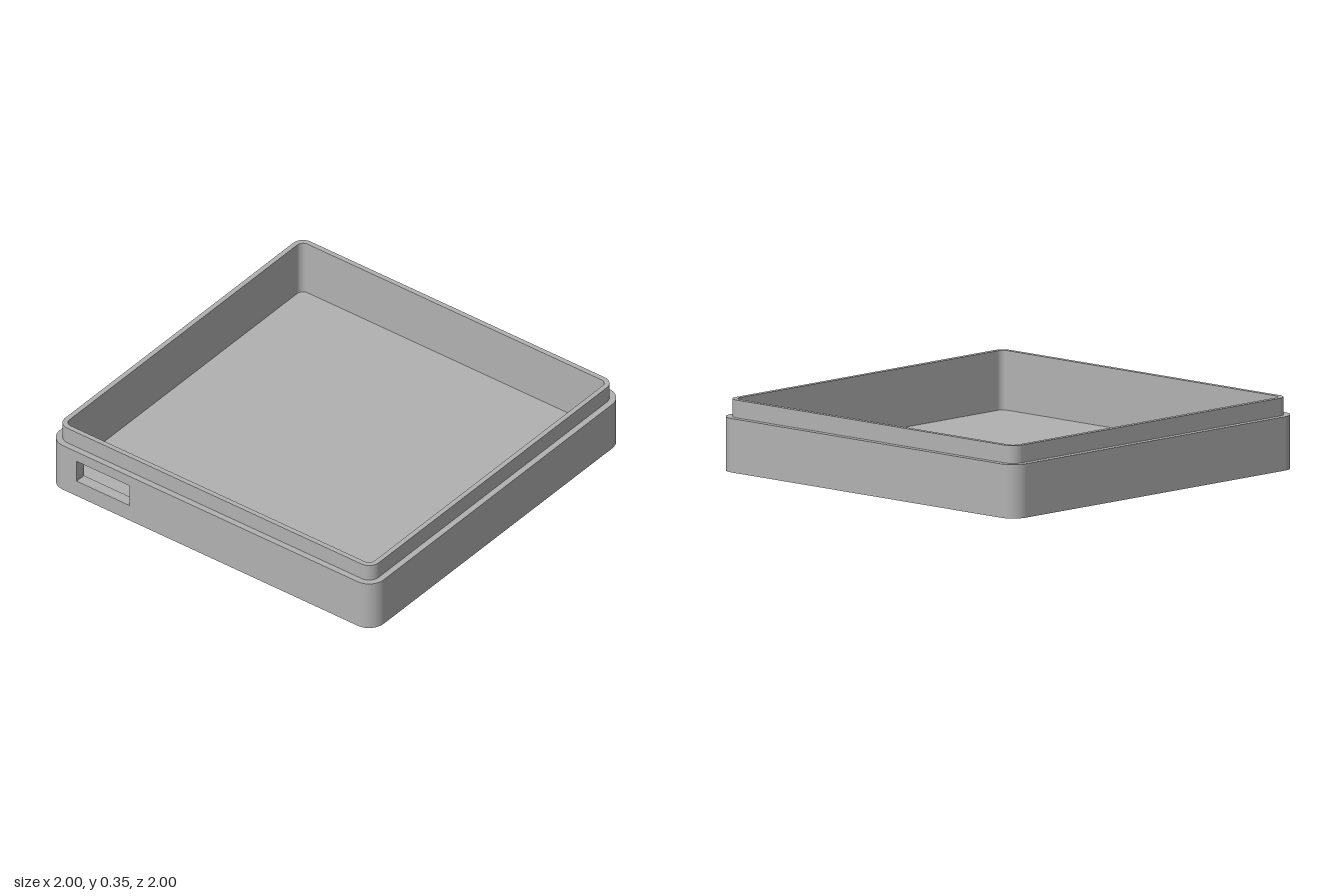
import * as THREE from 'three';

// Main dimensions
const OUTER = { half: 1, r: 0.09 }, LIP = { half: 0.968, r: 0.06 }, INNER = { half: 0.942, r: 0.035 };
const FLOOR = 0.06, LEDGE = 0.267, TOP = 0.355;
const SLOT = { x: -0.6625, y: 0.15, hw: 0.1625, hh: 0.06 };

// Rounded rectangle in x/z with normals; starts and ends at the front (+z) edge
function outline(hx, hz, r, steps = 10) {
  const pts = [];
  [[-1, 1], [-1, -1], [1, -1], [1, 1]].forEach(([sx, sz], k) => {
    for (let i = 0; i <= steps; i++) {
      const a = (k + 1 + i / steps) * Math.PI / 2, nx = Math.cos(a), nz = Math.sin(a);
      pts.push({ x: sx * (hx - r) + r * nx, z: sz * (hz - r) + r * nz, nx, nz });
    }
  });
  return pts;
}
const ring = s => outline(s.half, s.half, s.r);

// Upright skin along an outline; an open one leaves out the front edge
function skin(pts, y0, y1, { closed = true, inward = false } = {}) {
  const pos = [], nor = [], idx = [], n = pts.length, s = inward ? -1 : 1;
  for (const p of pts) {
    pos.push(p.x, y0, p.z, p.x, y1, p.z);
    nor.push(s * p.nx, 0, s * p.nz, s * p.nx, 0, s * p.nz);
  }
  for (let i = 0; i < (closed ? n : n - 1); i++) {
    const a = 2 * i, b = 2 * ((i + 1) % n);
    if (inward) idx.push(b, a + 1, a, b, b + 1, a + 1);
    else idx.push(b, a, a + 1, b, a + 1, b + 1);
  }
  const g = new THREE.BufferGeometry();
  g.setAttribute('position', new THREE.Float32BufferAttribute(pos, 3));
  g.setAttribute('normal', new THREE.Float32BufferAttribute(nor, 3));
  g.setIndex(idx);
  return g;
}

// Level face, optionally with a hole
function level(outer, hole, y, down = false) {
  const v = pts => pts.map(p => new THREE.Vector2(p.x, p.z));
  const shape = new THREE.Shape(v(outer));
  if (hole) shape.holes.push(new THREE.Path(v(hole)));
  return new THREE.ShapeGeometry(shape).rotateX(down ? Math.PI / 2 : -Math.PI / 2).translate(0, y, 0);
}

// Flat front panel pierced by the slot
function panel(hx, y0, y1, slotX) {
  const rect = (S, xa, xb, ya, yb) => new S([[xa, ya], [xb, ya], [xb, yb], [xa, yb]].map(p => new THREE.Vector2(...p)));
  const shape = rect(THREE.Shape, -hx, hx, y0, y1);
  shape.holes.push(rect(THREE.Path, slotX - SLOT.hw, slotX + SLOT.hw, SLOT.y - SLOT.hh, SLOT.y + SLOT.hh));
  return new THREE.ShapeGeometry(shape);
}

export function createModel() {
  const group = new THREE.Group();
  group.name = 'openCase';
  const grey = new THREE.MeshStandardMaterial({ color: 0xb2b2b2 });
  grey.name = 'grey';
  const add = (name, geometry) => {
    const mesh = new THREE.Mesh(geometry, grey);
    mesh.name = name;
    group.add(mesh);
  };
  const outer = ring(OUTER), lip = ring(LIP), inner = ring(INNER);

  // Tray body
  add('underside', level(outer, null, 0, true));
  add('outerWall', skin(outer, 0, LEDGE, { closed: false }));
  add('outerFrontWall', panel(OUTER.half - OUTER.r, 0, LEDGE, SLOT.x).translate(0, 0, OUTER.half));
  add('ledge', level(outer, lip, LEDGE));

  // Raised lip
  add('lipWall', skin(lip, LEDGE, TOP));
  add('lipRim', level(lip, inner, TOP));

  // Inside of the tray
  add('floor', level(inner, null, FLOOR));
  add('innerWall', skin(inner, FLOOR, TOP, { closed: false, inward: true }));
  add('innerFrontWall', panel(INNER.half - INNER.r, FLOOR, TOP, -SLOT.x).rotateY(Math.PI).translate(0, 0, INNER.half));

  // Sides of the slot through the front wall
  add('slotSides', skin(outline(SLOT.hw, SLOT.hh, 0, 1), 0, OUTER.half - INNER.half, { inward: true })
    .rotateX(Math.PI / 2).translate(SLOT.x, SLOT.y, INNER.half));
  return group;
}
